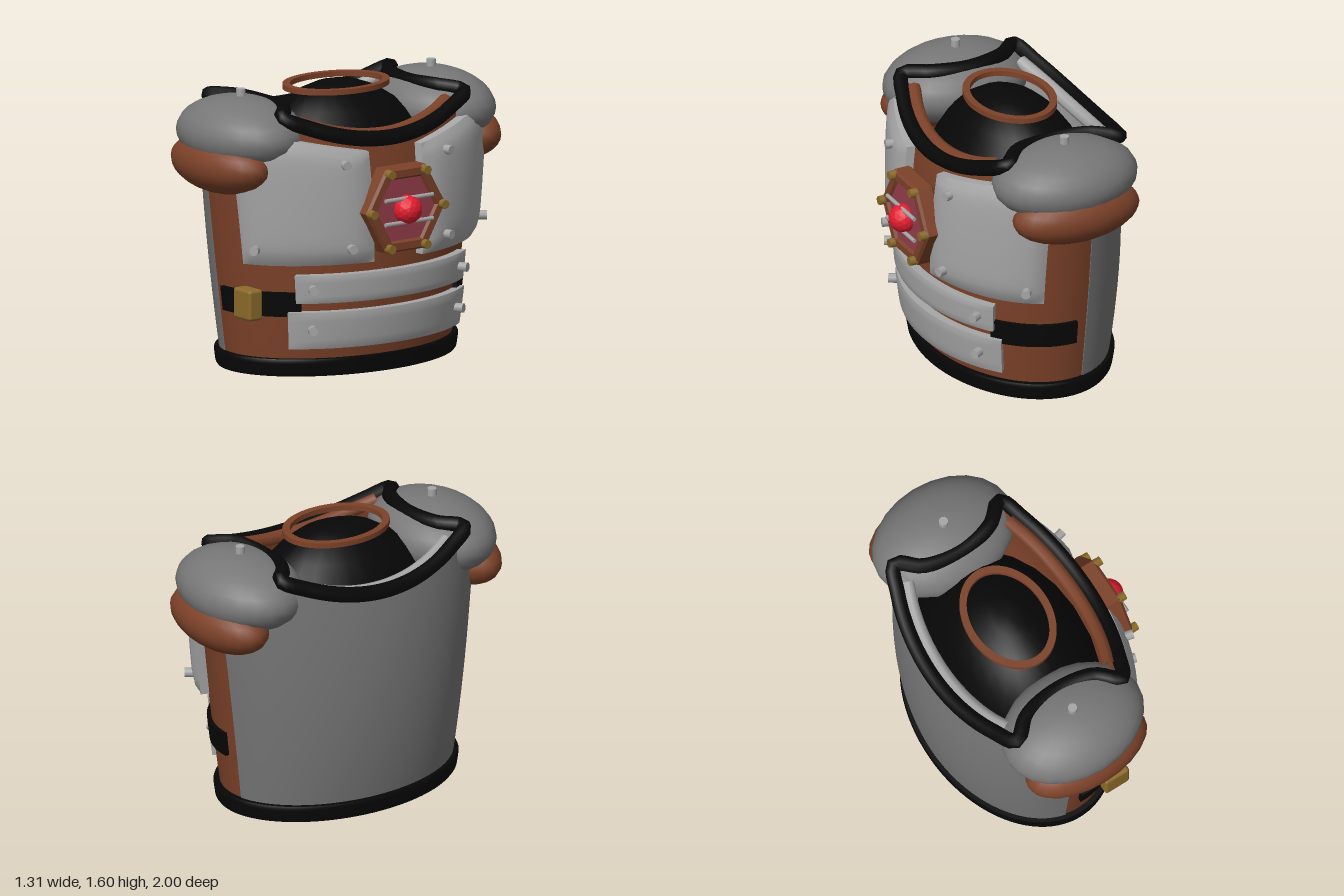
import * as THREE from 'three';
import { RoundedBoxGeometry } from 'three/addons/geometries/RoundedBoxGeometry.js';

const CX = -0.1; // centre of the oval torso
const rad = THREE.MathUtils.degToRad;
const lerp = THREE.MathUtils.lerp;

// Torso surface: oval section at height y, pushed outward by off
function torso(deg, y, off = 0) {
  const t = rad(deg);
  const a = 0.55 - 0.13 * (y - 0.75) ** 2 + off;
  const b = 0.705 + 0.122 * y + off;
  return new THREE.Vector3(CX + a * Math.cos(t), y, b * Math.sin(t));
}

// Direction pointing straight out of the torso
function outward(deg, y) {
  const q = torso(deg + 1, y).sub(torso(deg - 1, y));
  return new THREE.Vector3(q.z, 0, -q.x).normalize();
}

// Curved slab wrapped on the torso between two angles
function slab(d0, d1, low, high, off0, off1, bevel = 0, nv = 8) {
  const nu = Math.max(12, Math.ceil((d1 - d0) / 4));
  const g = new THREE.BoxGeometry(1, 1, 1, nu, nv, 1);
  const p = g.attributes.position;
  for (let i = 0; i < p.count; i++) {
    const u = p.getX(i) + 0.5, v = p.getY(i) + 0.5, w = p.getZ(i) + 0.5;
    const d = lerp(d1, d0, u);
    const y = lerp(low, typeof high === 'function' ? high(d) : high, v);
    const edge = Math.max(Math.abs(2 * v - 1), Math.abs(2 * u - 1)) ** 8;
    const s = torso(d, y, w > 0.5 ? off1 - bevel * edge : off0);
    p.setXYZ(i, s.x, s.y, s.z);
  }
  g.computeVertexNormals();
  return g;
}

// Height of the upper edge: low at front and back, high at the corners
const rimY = z => 1.325 + 0.4 * z * z;
function shellTop(deg) {
  const s = Math.abs(Math.sin(rad(deg)));
  const y = rimY(0.86 * s);
  return s < 0.75 ? y : lerp(rimY(0.645), 1.28, Math.min(1, (s - 0.75) / 0.12));
}

export function createModel() {
  const root = new THREE.Group();
  root.name = 'chestArmour';
  const mat = (name, color) => {
    const m = new THREE.MeshStandardMaterial({ color });
    m.name = name;
    return m;
  };
  const steel = mat('dark steel', 0x777777);
  const plate = mat('light steel', 0xa6a6a6);
  const leather = mat('brown leather', 0x7d4229);
  const black = mat('black trim', 0x070707);
  const brass = mat('brass', 0x8c6b2a);
  const red = mat('red gem', 0xe41c30);
  const rose = mat('rose panel', 0x963f4c);

  function add(name, geometry, material, x = 0, y = 0, z = 0) {
    const m = new THREE.Mesh(geometry, material);
    m.name = name;
    m.position.set(x, y, z);
    root.add(m);
    return m;
  }
  const UP = new THREE.Vector3(0, 1, 0);
  const studGeo = new THREE.CylinderGeometry(0.027, 0.027, 0.07, 8);
  function stud(name, geo, material, pos, dir) {
    const m = add(name, geo, material, pos.x, pos.y, pos.z);
    m.quaternion.setFromUnitVectors(UP, dir);
  }

  // Torso shell: leather front, steel back with a light lining
  add('frontShell', slab(-99.5, 99.5, 0.05, shellTop, -0.06, 0, 0, 16), leather);
  add('backShell', slab(99.5, 260.5, 0.05, shellTop, -0.06, 0.006, 0, 16),
    [steel, steel, steel, steel, steel, plate]);
  add('bottomTrim', slab(0, 360, 0, 0.1, -0.03, 0.037, 0.008), black);

  // Padded rim around the upper opening
  const rim = [];
  for (let d = -46; d <= 46; d += 11.5) {
    const p = torso(d, 1.35);
    rim.push(p.setY(rimY(p.z)));
  }
  const side = [[0.12, 1.505, 0.53], [-0.1, 1.5, 0.49], [-0.32, 1.505, 0.53]];
  side.forEach(([x, y, z]) => rim.push(new THREE.Vector3(x, y, z)));
  for (let d = 134; d <= 226; d += 11.5) {
    const p = torso(d, 1.35);
    rim.push(p.setY(rimY(p.z) + 0.02));
  }
  side.reverse().forEach(([x, y, z]) => rim.push(new THREE.Vector3(x, y, -z)));
  add('upperRim', new THREE.TubeGeometry(new THREE.CatmullRomCurve3(rim, true), 120, 0.044, 8, true), black);

  // Lining rolls just inside the rim
  for (const [name, mid, material] of [['frontLining', 0, leather], ['backLining', 180, plate]]) {
    const pts = [];
    for (let d = mid - 40; d <= mid + 40; d += 10) {
      const p = torso(d, 1.35, -0.065);
      pts.push(p.setY(rimY(p.z) + 0.01));
    }
    add(name, new THREE.TubeGeometry(new THREE.CatmullRomCurve3(pts), 30, 0.04, 8), material);
  }

  // Inner padding filling the torso, and the collar ring around its top
  const ball = new THREE.SphereGeometry(1, 24, 16);
  add('innerPadding', ball, black, CX, 0.79).scale.set(0.47, 0.782, 0.66);
  const ring = new THREE.Shape().absellipse(0, 0, 0.245, 0.325, 0, Math.PI * 2);
  ring.holes.push(new THREE.Path().absellipse(0, 0, 0.205, 0.282, 0, Math.PI * 2));
  const ringGeo = new THREE.ExtrudeGeometry(ring, { depth: 0.03, bevelEnabled: false, curveSegments: 32 });
  ringGeo.rotateX(-Math.PI / 2);
  add('collarRing', ringGeo, leather, CX, 1.533);

  // Parts mirrored left and right
  const chestTop = d => lerp(1.275, 1.37, Math.min(1, (Math.abs(d) - 12) / 32));
  for (const s of [1, -1]) {
    const name = s > 0 ? 'left' : 'right';
    const span = (a, b) => (s > 0 ? [a, b] : [-b, -a]);
    add(name + 'ShoulderPad', ball, steel, CX, 1.35, s * 0.66).scale.set(0.43, 0.21, 0.32);
    add(name + 'ShoulderCushion', ball, leather, CX, 1.195, s * 0.8).scale.set(0.385, 0.168, 0.2);
    stud(name + 'PadStud', studGeo, plate, new THREE.Vector3(CX, 1.565, s * 0.66), UP);
    add(name + 'ChestPlate', slab(...span(11.5, 71), 0.65, chestTop, -0.01, 0.085, 0.035, 16), plate);
    add(name + 'Belt', slab(...span(44, 92), 0.348, 0.488, -0.01, 0.025), black);
    // Rivets on the chest and belly plates
    for (const [d, y, off] of [[22, 1.22, 0.085], [22, 0.745, 0.09], [62, 0.745, 0.09], [38, 0.515, 0.07], [38.5, 0.28, 0.07]])
      stud(name + 'Rivet', studGeo, plate, torso(s * d, y, off), outward(s * d, y));
  }

  // Belly plates
  add('upperBellyPlate', slab(-46, 46, 0.43, 0.592, -0.01, 0.056, 0.007), plate);
  add('lowerBellyPlate', slab(-50, 50, 0.165, 0.378, -0.01, 0.056, 0.007), plate);

  // Buckle on the left side of the belt
  add('buckle', new RoundedBoxGeometry(0.16, 0.175, 0.095, 2, 0.018), brass, 0.105, 0.422, 0.763);

  // Hexagonal chest emblem
  const hex = (path, r) => {
    for (let i = 0; i < 6; i++) {
      const a = i * Math.PI / 3;
      path[i ? 'lineTo' : 'moveTo'](r * Math.cos(a), r * Math.sin(a));
    }
    path.closePath();
    return path;
  };
  const EY = 0.942;
  const frame = hex(new THREE.Shape(), 0.262);
  frame.holes.push(hex(new THREE.Path(), 0.215));
  const frameGeo = new THREE.ExtrudeGeometry(frame, {
    depth: 0.085, bevelThickness: 0.015, bevelSize: 0.012, bevelSegments: 1 });
  frameGeo.rotateY(Math.PI / 2);
  add('emblemFrame', frameGeo, leather, 0.465, EY);
  const panelGeo = new THREE.ExtrudeGeometry(hex(new THREE.Shape(), 0.22), { depth: 0.09, bevelEnabled: false });
  panelGeo.rotateY(Math.PI / 2);
  add('emblemPanel', panelGeo, rose, 0.46, EY);
  const gem = new THREE.IcosahedronGeometry(0.083, 2);
  gem.computeVertexNormals();
  add('emblemGem', gem, red, 0.57, EY);
  for (const y of [-0.068, 0.068]) {
    const bar = add('emblemBar', new THREE.CylinderGeometry(0.012, 0.012, 0.33, 8), plate, 0.585, EY + y);
    bar.rotation.x = Math.PI / 2;
  }
  const boltGeo = new THREE.CylinderGeometry(0.026, 0.028, 0.05, 8);
  for (let i = 0; i < 6; i++) {
    const a = i * Math.PI / 3;
    stud('emblemBolt', boltGeo, brass,
      new THREE.Vector3(0.572, EY + 0.245 * Math.sin(a), 0.245 * Math.cos(a)), new THREE.Vector3(1, 0, 0));
  }
  return root;
}
